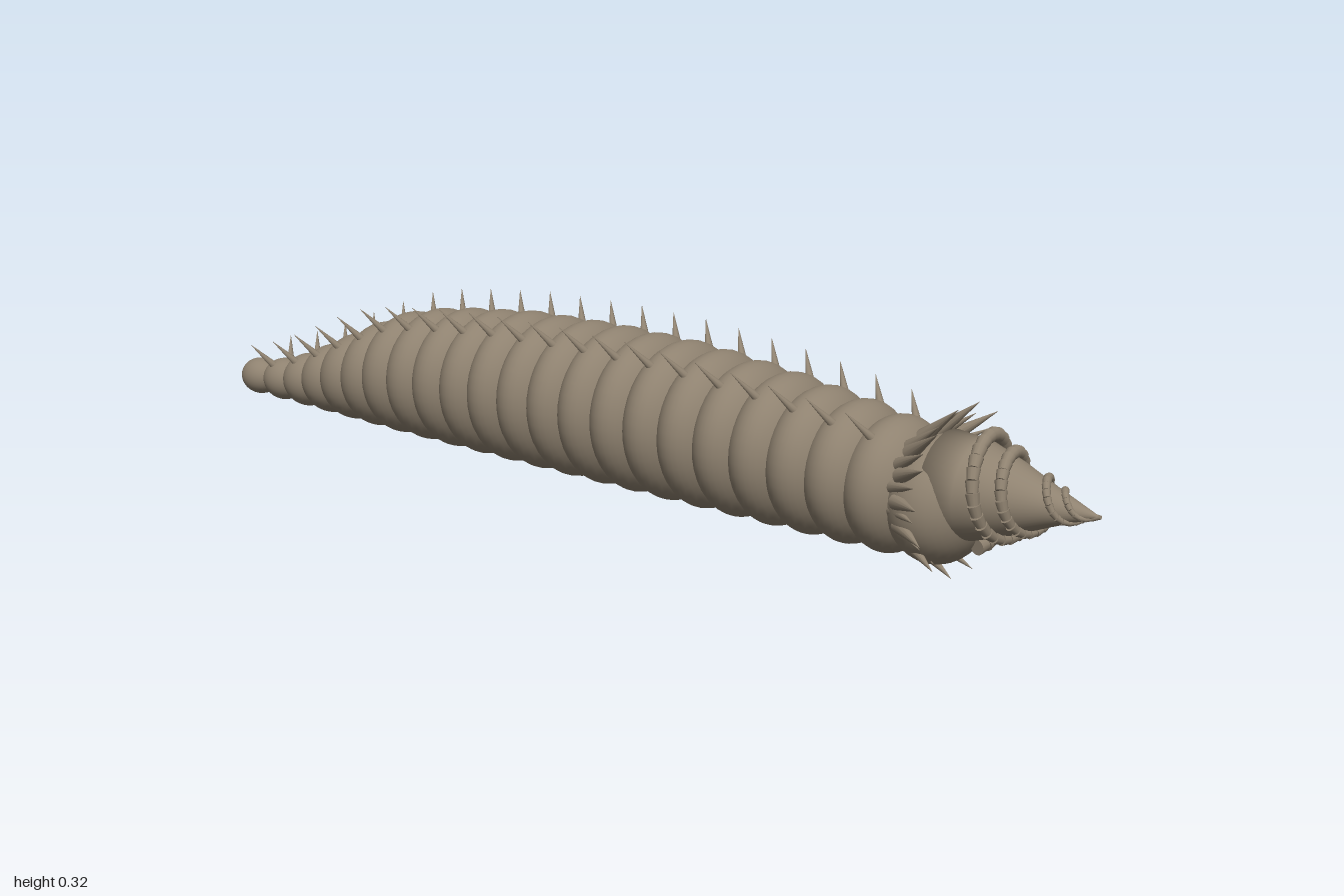
import * as THREE from 'three';

const hide = new THREE.MeshStandardMaterial({ color: 0x8f8270 });
hide.name = 'stone brown hide';

const SEGMENTS = 22, STEP = 0.0752, FIRST_Z = 0.623, BELLY = 0.012;

// Body radius along z, front to tail
const PROFILE = [
  [0.7, 0.108], [0.6, 0.12], [0.4, 0.134], [0.2, 0.144], [0, 0.146], [-0.2, 0.143], [-0.4, 0.132],
  [-0.5, 0.121], [-0.6, 0.1], [-0.7, 0.076], [-0.8, 0.055], [-0.88, 0.043], [-1, 0.034],
];

function bodyRadius(z) {
  for (let i = 1; i < PROFILE.length; i++) {
    const [z0, r0] = PROFILE[i - 1], [z1, r1] = PROFILE[i];
    if (z >= z1) return THREE.MathUtils.lerp(r0, r1, THREE.MathUtils.clamp((z0 - z) / (z0 - z1), 0, 1));
  }
  return 0.034;
}

function add(parent, geometry, name) {
  const mesh = new THREE.Mesh(geometry, hide);
  mesh.name = name;
  parent.add(mesh);
  return mesh;
}

// Round bar from a to b with separate end radii
function bar(parent, a, b, ra, rb, sides, name) {
  const dir = b.clone().sub(a);
  const mesh = add(parent, new THREE.CylinderGeometry(rb, ra, dir.length(), sides), name);
  mesh.position.copy(a).add(b).multiplyScalar(0.5);
  mesh.quaternion.setFromUnitVectors(new THREE.Vector3(0, 1, 0), dir.normalize());
  return mesh;
}

function polar(radius, angle, cy, z) {
  return new THREE.Vector3(Math.cos(angle) * radius, cy + Math.sin(angle) * radius, z);
}

// Overlapping ring segments, all resting on the same belly line
function buildBody() {
  const body = new THREE.Group();
  body.name = 'segmentedBody';
  const sphere = new THREE.SphereGeometry(1, 40, 24).rotateX(Math.PI / 2);
  for (let i = 0; i < SEGMENTS; i++) {
    const z = FIRST_Z - i * STEP, r = bodyRadius(z);
    const ring = add(body, sphere, i === SEGMENTS - 1 ? 'tailTip' : 'bodySegment');
    ring.scale.set(r, r, Math.min(0.073, 0.02 + r * 0.65));
    ring.position.set(0, BELLY + r, z);
  }
  return body;
}

// Two rows of back spikes leaning towards the tail
function buildBackSpikes() {
  const spikes = new THREE.Group();
  spikes.name = 'backSpikes';
  const angle = THREE.MathUtils.degToRad(54);
  for (let i = 0; i < SEGMENTS - 1; i++) {
    const z = FIRST_Z - i * STEP, r = bodyRadius(z), cy = BELLY + r;
    for (const a of [angle, Math.PI - angle]) {
      bar(spikes, polar(r - 0.008, a, cy, z - 0.005), polar(r + 0.05, a, cy, z - 0.04), 0.0085, 0.0003, 10, 'backSpike');
    }
  }
  return spikes;
}

// Ring of forward-swept spikes round the neck
function buildCollar() {
  const collar = new THREE.Group();
  collar.name = 'spikedCollar';
  const neck = add(collar, new THREE.SphereGeometry(1, 40, 24).rotateX(Math.PI / 2), 'neck');
  neck.scale.set(0.108, 0.108, 0.085);
  neck.position.set(0, BELLY + 0.108, 0.71);
  const count = 14;
  for (let i = 0; i < count; i++) {
    const a = i / count * Math.PI * 2, cy = 0.143;
    const base = polar(0.095, a, 0.133, 0.685);
    bar(collar, base, polar(0.146, a, cy, 0.755), 0.014, 0.0003, 12, 'collarSpike');
    bar(collar, polar(0.085, a + 0.22, 0.133, 0.67), polar(0.128, a + 0.22, cy, 0.735), 0.012, 0.0003, 12, 'innerCollarSpike');
  }
  return collar;
}

// Drill-shaped snout with two stepped spiral ridges
function buildSnout() {
  const snout = new THREE.Group();
  snout.name = 'drillSnout';
  const AXIS_Y = 0.149;
  const points = [[0, 1], [0.006, 0.985], [0.033, 0.915], [0.062, 0.845], [0.084, 0.78], [0.09, 0.72], [0, 0.7]];
  const cone = new THREE.LatheGeometry(points.map(([r, z]) => new THREE.Vector2(r, z)).reverse(), 40);
  add(snout, cone.rotateX(Math.PI / 2), 'snoutCore').position.y = AXIS_Y;

  const N = 46, TURNS = 2.1;
  for (const [start, outer] of [[-95, 0.094], [-15, 0.106]]) {
    const at = (t) => {
      const s = 1 - t;
      const r = outer * s, angle = THREE.MathUtils.degToRad(start) + t * TURNS * Math.PI * 2;
      return polar(r, angle, AXIS_Y, 0.998 - 0.225 * Math.pow(r / 0.1, 0.95));
    };
    // Each bead widens towards its rear end, leaving a small step
    for (let i = 0; i < N; i++) {
      const t = 1 - Math.pow(1 - i / N, 0.75), u = 1 - Math.pow(1 - (i + 1) / N, 0.75);
      const width = 0.0035 + 0.0105 * (1 - t);
      bar(snout, at(t), at(u), width, width * 0.8, 12, 'spiralRidge');
    }
  }
  return snout;
}

export function createModel() {
  const model = new THREE.Group();
  model.name = 'drillWorm';
  model.add(buildBody(), buildBackSpikes(), buildCollar(), buildSnout());
  return model;
}
